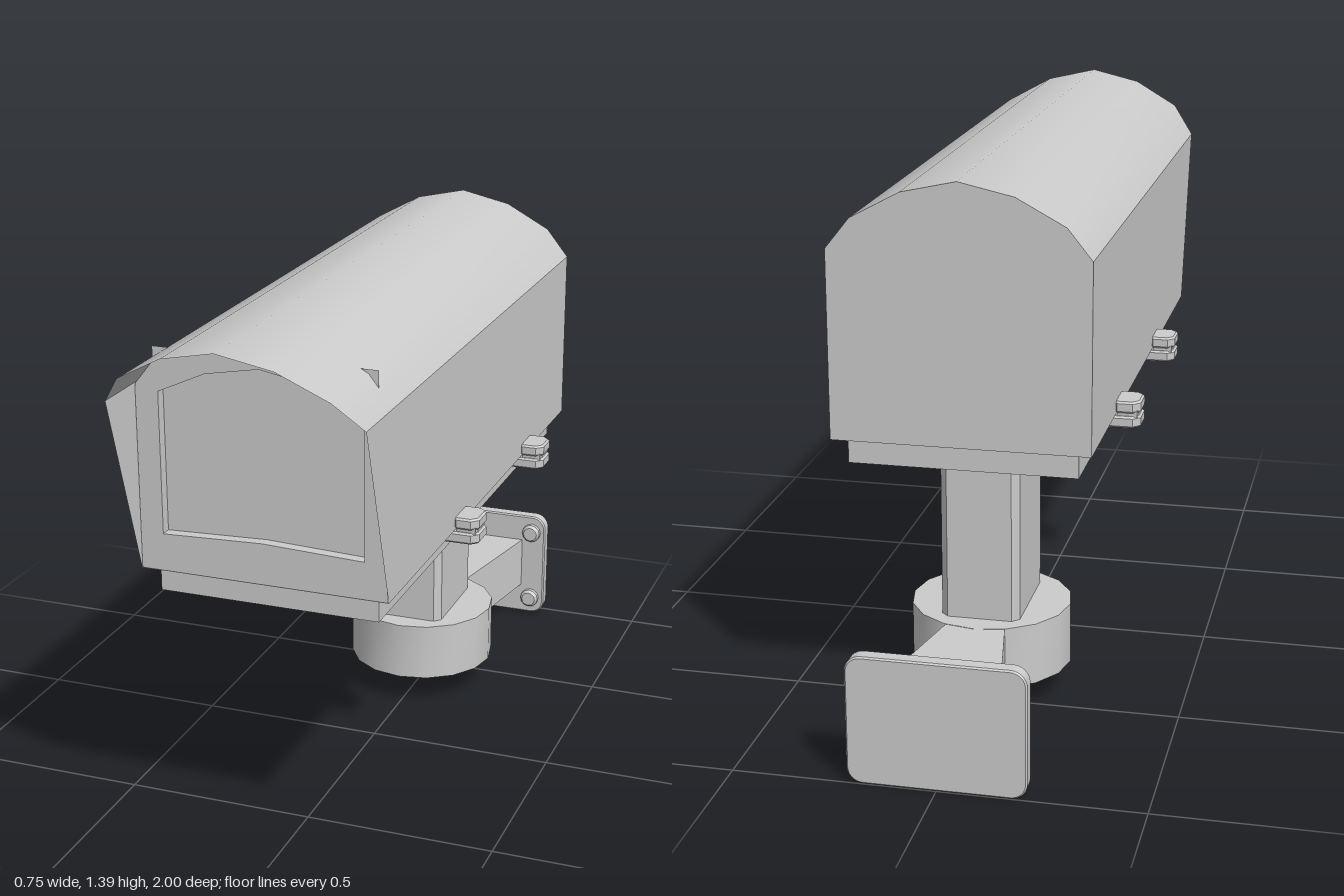
import * as THREE from 'three';
import { toCreasedNormals } from 'three/addons/utils/BufferGeometryUtils.js';

const grey = new THREE.MeshStandardMaterial({ color: 0xcccccc });
const thin = new THREE.MeshStandardMaterial({ color: 0xcccccc, side: THREE.DoubleSide });

// Half cross-section of the housing, with the z at which each point ends: x, y, front z
const half = [[0.315, 0.76, 0.76], [0.315, 1.225, 0.907], [0.255, 1.3, 0.962], [0.135, 1.365, 0.987]];
const section = [...half, [0, 1.395, 1], ...half.map(([x, y, z]) => [-x, y, z]).reverse()];

const shapeOf = (pts) => new THREE.Shape(pts.map(([x, y]) => new THREE.Vector2(x, y)));

// Rectangle with cut corners
function chamferRect(w, h, c) {
  const a = w / 2, b = h / 2;
  return shapeOf([[-a + c, -b], [a - c, -b], [a, -b + c], [a, b - c], [a - c, b], [-a + c, b], [-a, b - c], [-a, -b + c]]);
}

function roundRect(w, h, r) {
  const a = w / 2 - r, b = h / 2 - r, s = new THREE.Shape();
  s.absarc(a, b, r, 0, Math.PI / 2);
  s.absarc(-a, b, r, Math.PI / 2, Math.PI);
  s.absarc(-a, -b, r, Math.PI, Math.PI * 1.5);
  s.absarc(a, -b, r, Math.PI * 1.5, Math.PI * 2);
  return s;
}

const extrude = (shape, depth, bevel = 0) => new THREE.ExtrudeGeometry(shape, {
  depth: depth - 2 * bevel, bevelEnabled: bevel > 0, bevelSize: bevel, bevelOffset: -bevel,
  bevelThickness: bevel, bevelSegments: 1, curveSegments: 4,
}).translate(0, 0, bevel);

// Shape drawn in x, z and raised along y
const upright = (shape, height, bevel) => extrude(shape, height, bevel).rotateX(-Math.PI / 2);

// Wall strip along the housing, slanted at its front end
function hoodGeometry() {
  const pos = [], index = [];
  section.forEach(([x, y, z], i) => {
    pos.push(x, y, -0.745, x, y, z);
    if (i) {
      const a = 2 * i - 2;
      index.push(a, a + 2, a + 1, a + 1, a + 2, a + 3);
    }
  });
  const g = new THREE.BufferGeometry();
  g.setAttribute('position', new THREE.Float32BufferAttribute(pos, 3));
  g.setIndex(index);
  return toCreasedNormals(g, 0.55);
}

// Low bolt head with a sloped rim, standing on y = 0
function boltGeometry(r, h) {
  const profile = [[0, 0], [r, 0], [r, h * 0.6], [r * 0.75, h], [0, h]];
  return toCreasedNormals(new THREE.LatheGeometry(profile.map((p) => new THREE.Vector2(...p)), 12), 0.6);
}

export function createModel() {
  const root = new THREE.Group();
  const add = (name, geometry, x = 0, y = 0, z = 0, material = grey) => {
    const mesh = new THREE.Mesh(geometry, material);
    mesh.name = name;
    mesh.position.set(x, y, z);
    root.add(mesh);
    return mesh;
  };

  // Housing: hood, back, floor, window frame and recessed window
  add('hood', hoodGeometry(), 0, 0, 0, thin);
  add('housingBack', new THREE.ShapeGeometry(shapeOf(section)), 0, 0, -0.745, thin);
  add('housingFloor', new THREE.PlaneGeometry(0.63, 1.505).rotateX(Math.PI / 2), 0, 0.76, 0.0075, thin);
  const frame = shapeOf(section.map(([x, y]) => [x * 0.995, y + (y > 1.2 ? -0.002 : 0.001)]));
  frame.holes.push(new THREE.Path([
    [-0.255, 0.855], [-0.255, 1.21], [-0.135, 1.265], [0, 1.29],
    [0.135, 1.265], [0.255, 1.21], [0.255, 0.855], [0, 0.865],
  ].map((p) => new THREE.Vector2(...p))));
  add('windowFrame', extrude(frame, 0.03), 0, 0, 0.73);
  add('window', new THREE.PlaneGeometry(0.56, 0.48), 0, 1.07, 0.732);

  // Base tray under the housing
  add('baseTray', new THREE.BoxGeometry(0.56, 0.065, 1.445), 0, 0.7275, 0.0075);

  // Side latches
  for (const side of [-1, 1]) {
    for (const z of [0.225, -0.365]) {
      add('latchLower', upright(chamferRect(0.11, 0.095, 0.018), 0.03, 0.005), side * 0.32, 0.725, z);
      add('latchPin', new THREE.BoxGeometry(0.05, 0.02, 0.08), side * 0.342, 0.76, z);
      add('latchUpper', upright(chamferRect(0.075, 0.095, 0.018), 0.03, 0.005), side * 0.3375, 0.763, z);
    }
  }

  // Mounting plate with four bolts, on a chamfered column
  const cz = -0.41;
  add('mountPlate', new THREE.BoxGeometry(0.41, 0.03, 0.42), 0, 0.68, cz);
  for (const x of [-0.155, 0.155]) {
    for (const dz of [-0.155, 0.155]) {
      add('mountBolt', boltGeometry(0.03, 0.014).rotateX(Math.PI), x, 0.666, cz + dz);
    }
  }
  add('column', upright(chamferRect(0.2, 0.285, 0.018), 0.44), 0, 0.235, cz);

  // Pivot hub with a hexagonal bolt underneath
  add('hub', toCreasedNormals(new THREE.CylinderGeometry(0.205, 0.205, 0.16, 16), 0.6), 0, 0.165, cz);
  add('hubBolt', toCreasedNormals(new THREE.CylinderGeometry(0.062, 0.034, 0.036, 6), 0.3), 0, 0.067, cz);

  // Wall arm widens towards the plate
  const arm = new THREE.BoxGeometry(1, 1, 1);
  const p = arm.attributes.position;
  for (let i = 0; i < p.count; i++) {
    const atWall = p.getZ(i) < 0;
    p.setXYZ(i, Math.sign(p.getX(i)) * (atWall ? 0.145 : 0.06),
      p.getY(i) > 0 ? 0.244 : (atWall ? 0.092 : 0.081), atWall ? -0.962 : -0.52);
  }
  arm.computeVertexNormals();
  add('wallArm', arm);

  // Wall plate with four bolts
  add('wallPlate', toCreasedNormals(extrude(roundRect(0.435, 0.325, 0.04), 0.04, 0.004), 0.5), 0, 0.1625, -1);
  for (const x of [-0.175, 0.175]) {
    for (const y of [0.052, 0.273]) {
      add('wallBolt', boltGeometry(0.028, 0.022).rotateX(Math.PI / 2), x, y, -0.961);
    }
  }
  return root;
}
